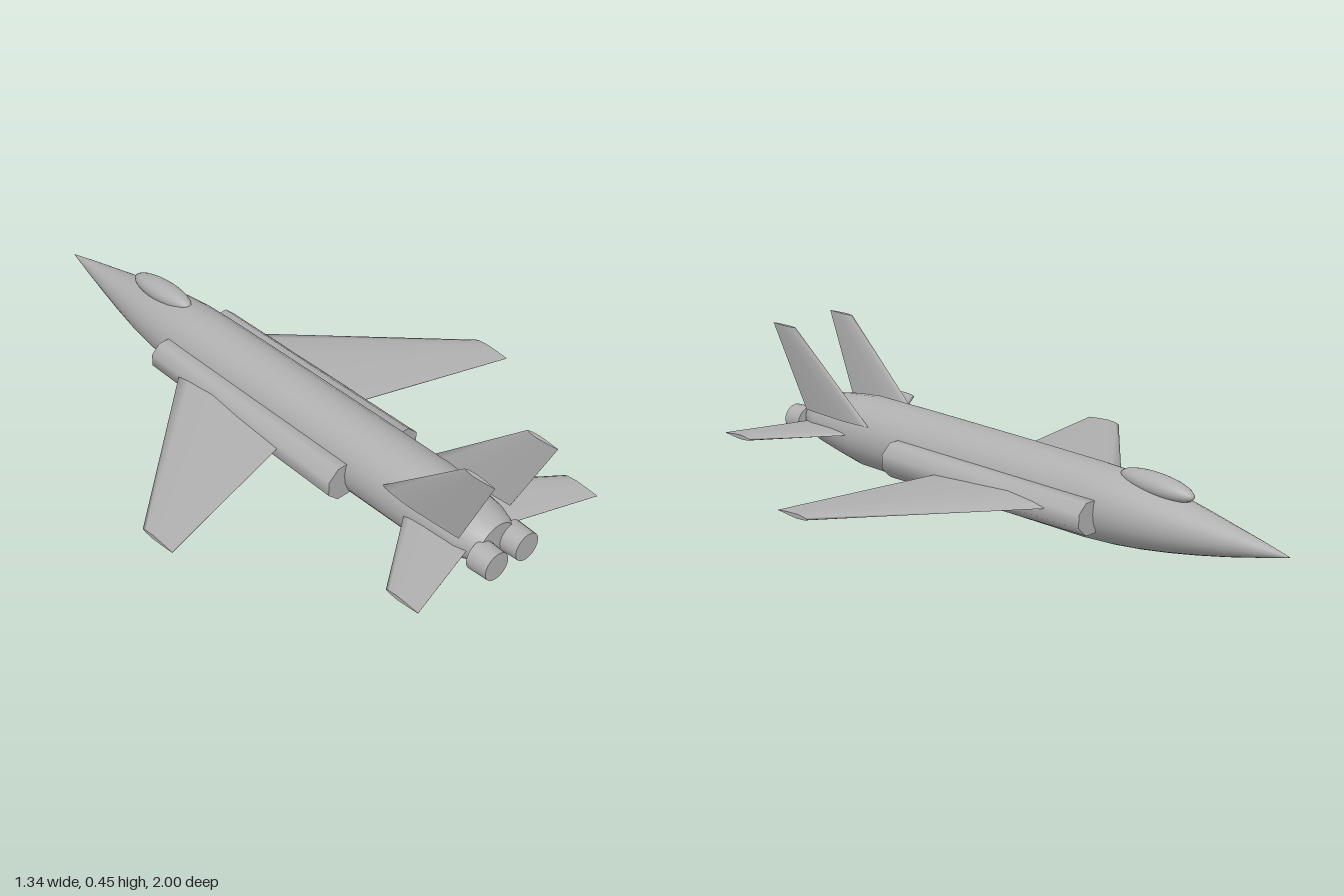
import * as THREE from 'three';

const V = (x, y, z) => new THREE.Vector3(x, y, z);

// Skin a list of equal-length rings of points; end caps get their own vertices
function loft(rings) {
  const n = rings[0].length, pos = [], idx = [];
  rings.forEach(r => r.forEach(p => pos.push(p.x, p.y, p.z)));
  for (let i = 0; i < rings.length - 1; i++) {
    for (let j = 0; j < n; j++) {
      const a = i * n + j, b = i * n + (j + 1) % n;
      idx.push(a, b, b + n, a, b + n, a + n);
    }
  }
  [rings[0], rings[rings.length - 1]].forEach((r, end) => {
    const base = pos.length / 3;
    r.forEach(p => pos.push(p.x, p.y, p.z));
    const c = r.reduce((s, p) => s.add(p), V(0, 0, 0)).divideScalar(n);
    pos.push(c.x, c.y, c.z);
    for (let j = 0; j < n; j++) {
      const a = base + j, b = base + (j + 1) % n;
      if (end) idx.push(a, b, base + n); else idx.push(b, a, base + n);
    }
  });
  // Flip every face if the signed volume shows the skin is inside out
  const at = i => V(pos[3 * i], pos[3 * i + 1], pos[3 * i + 2]);
  let vol = 0;
  for (let i = 0; i < idx.length; i += 3) vol += at(idx[i]).dot(at(idx[i + 1]).cross(at(idx[i + 2])));
  if (vol < 0) idx.reverse();
  const g = new THREE.BufferGeometry();
  g.setAttribute('position', new THREE.Float32BufferAttribute(pos, 3));
  g.setIndex(idx);
  g.computeVertexNormals();
  return g;
}

// Elliptical ring across z
function oval(z, cx, cy, rx, ry, sides, turn = 0) {
  return Array.from({ length: sides }, (_, i) => {
    const a = (i + turn) / sides * Math.PI * 2;
    return V(cx + Math.cos(a) * rx, cy + Math.sin(a) * ry, z);
  });
}

// Aerofoil ring: fractions along the chord and of the half thickness
const FOIL = [[0, 0], [0.1, 0.6], [0.35, 1], [0.7, 0.6], [1, 0.08], [1, -0.08], [0.7, -0.6], [0.35, -1], [0.1, -0.6]];
function foil({ x, y, z0, z1, t }, upright) {
  return FOIL.map(([u, v]) => V(x + (upright ? v * t : 0), y + (upright ? 0 : v * t), z0 + (z1 - z0) * u));
}

// z, bottom, top, half width
const BODY = [
  [-1, 0.114, 0.116, 0.001], [-0.9, 0.09, 0.138, 0.024], [-0.8, 0.067, 0.158, 0.045],
  [-0.7, 0.047, 0.178, 0.066], [-0.6, 0.03, 0.197, 0.085], [-0.5, 0.016, 0.214, 0.099],
  [-0.4, 0.006, 0.227, 0.107], [-0.3, 0.001, 0.232, 0.109], [0, 0.003, 0.237, 0.111],
  [0.4, 0.008, 0.241, 0.114], [0.66, 0.013, 0.242, 0.115], [0.76, 0.032, 0.232, 0.11],
  [0.85, 0.052, 0.217, 0.1], [0.9, 0.065, 0.205, 0.082], [0.92, 0.073, 0.197, 0.068],
];

export function createModel() {
  const model = new THREE.Group();
  model.name = 'jet';
  const grey = new THREE.MeshStandardMaterial({ color: 0xb0b0b0 });
  grey.name = 'grey';
  const add = (name, geometry) => {
    const mesh = new THREE.Mesh(geometry, grey);
    mesh.name = name;
    model.add(mesh);
    return mesh;
  };

  // Fuselage and canopy
  add('fuselage', loft(BODY.map(([z, lo, hi, w]) => oval(z, 0, (lo + hi) / 2, w, (hi - lo) / 2, 24))));
  const canopy = add('canopy', new THREE.SphereGeometry(1, 24, 16));
  canopy.scale.set(0.04, 0.034, 0.134);
  canopy.position.set(0, 0.214, -0.532);
  canopy.rotation.x = -0.07;

  for (const s of [1, -1]) {
    const side = s > 0 ? 'left' : 'right';

    // Air intake duct beside the fuselage
    add(side + 'Intake', loft([
      oval(-0.385, s * 0.113, 0.108, 0.057, 0.053, 8, 0.5),
      oval(0.43, s * 0.115, 0.11, 0.065, 0.06, 8, 0.5),
    ]));

    // Swept main wing, drooping slightly to the tip
    add(side + 'Wing', loft([
      foil({ x: s * 0.1, y: 0.121, z0: -0.315, z1: 0.183, t: 0.019 }),
      foil({ x: s * 0.67, y: 0.1, z0: 0.2, z1: 0.33, t: 0.007 }),
    ]));

    // Tailplane
    add(side + 'Tailplane', loft([
      foil({ x: s * 0.08, y: 0.133, z0: 0.645, z1: 0.885, t: 0.009 }),
      foil({ x: s * 0.356, y: 0.133, z0: 0.85, z1: 0.972, t: 0.007 }),
    ]));

    // Tail fin, canted outwards
    add(side + 'Fin', loft([
      foil({ x: s * 0.102, y: 0.178, z0: 0.572, z1: 0.87, t: 0.012 }, true),
      foil({ x: s * 0.121, y: 0.45, z0: 0.89, z1: 1, t: 0.007 }, true),
    ]));

    // Exhaust nozzle
    const nozzle = add(side + 'Nozzle', new THREE.CylinderGeometry(0.045, 0.048, 0.07, 20));
    nozzle.rotation.x = Math.PI / 2;
    nozzle.position.set(s * 0.06, 0.122, 0.943);
  }
  return model;
}
